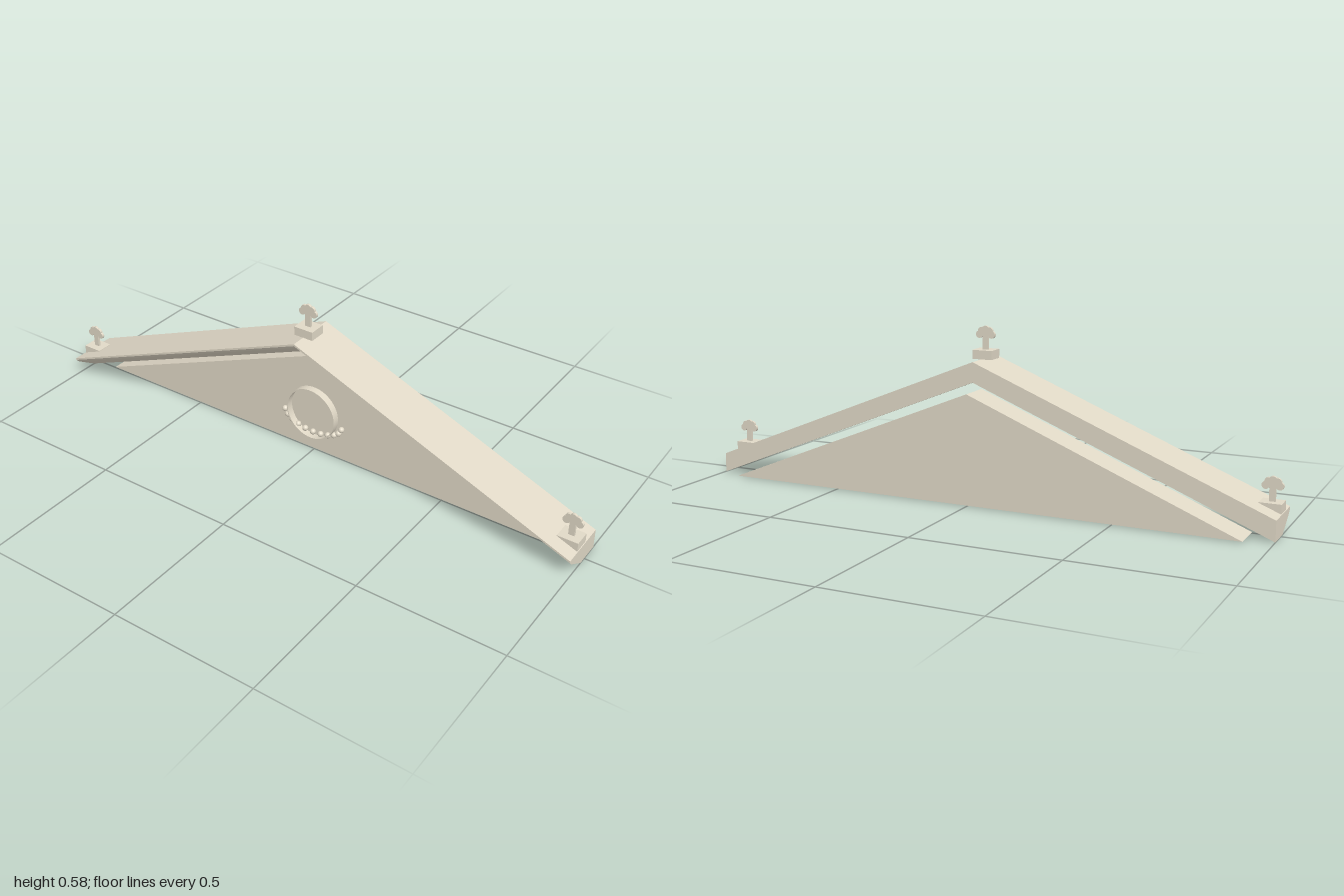
import * as THREE from 'three';

const SLOPE = 0.403;

export function createModel() {
  const stone = new THREE.MeshStandardMaterial({ color: 0xe0d8c6 });
  stone.name = 'stone';

  const model = new THREE.Group();
  model.name = 'pediment';
  const add = (parent, name, geometry, x = 0, y = 0, z = 0) => {
    const mesh = new THREE.Mesh(geometry, stone);
    mesh.name = name;
    mesh.position.set(x, y, z);
    parent.add(mesh);
  };

  // Triangular panel, its front face at z = 0
  const triangle = new THREE.Shape([
    new THREE.Vector2(-0.913, 0.003),
    new THREE.Vector2(0.913, 0.003),
    new THREE.Vector2(0, 0.372),
  ]);
  add(model, 'tympanum',
    new THREE.ExtrudeGeometry(triangle, { depth: 0.112, bevelEnabled: false }), 0, 0, -0.112);

  // Raking cornices: a moulding profile (z, y) swept out and sheared down the slope
  const profile = [
    [-0.067, 0.47], [0.113, 0.47], [0.113, 0.463],
    [0.1, 0.45], [0.025, 0.403], [-0.067, 0.403],
  ];
  for (const side of [1, -1]) {
    const shape = new THREE.Shape(profile.map(([z, y]) => new THREE.Vector2(-side * z, y)));
    const geometry = new THREE.ExtrudeGeometry(shape, { depth: 1, bevelEnabled: false });
    geometry.rotateY(side * Math.PI / 2);
    const p = geometry.attributes.position;
    for (let i = 0; i < p.count; i++) p.setY(i, p.getY(i) - SLOPE * Math.abs(p.getX(i)));
    geometry.computeVertexNormals();
    add(model, side > 0 ? 'leftCornice' : 'rightCornice', geometry);
  }

  // Thin round medallion rim standing out from the panel
  const ring = new THREE.Shape().absarc(0, 0, 0.096, 0, Math.PI * 2);
  ring.holes.push(new THREE.Path().absarc(0, 0, 0.092, 0, Math.PI * 2, true));
  add(model, 'medallionRim',
    new THREE.ExtrudeGeometry(ring, { depth: 0.025, bevelEnabled: false, curveSegments: 48 }), 0, 0.153, 0);

  // Garland of beads hanging below the medallion
  const bead = new THREE.SphereGeometry(0.0105, 14, 10);
  for (let i = 0; i < 11; i++) {
    const t = (i - 5) / 5;
    add(model, 'garlandBead', bead, 0.115 * Math.sin(t * 1.35) / Math.sin(1.35),
      0.127 - 0.051 * (1 - t * t), 0.008);
  }

  // Roof ornaments: block, stem and a fan of five petals
  const block = new THREE.BoxGeometry(0.07, 0.03, 0.059);
  const stem = new THREE.BoxGeometry(0.02, 0.058, 0.009);
  const petal = new THREE.CylinderGeometry(0.0125, 0.0125, 0.009, 20);
  petal.rotateX(Math.PI / 2);
  for (const [name, x, y] of [
    ['peakOrnament', 0, 0.469], ['leftOrnament', 0.963, 0.068], ['rightOrnament', -0.963, 0.068],
  ]) {
    const ornament = new THREE.Group();
    ornament.name = name;
    ornament.position.set(x, y, 0.032);
    add(ornament, 'block', block, 0, 0.015, 0);
    add(ornament, 'stem', stem, 0, 0.059, 0);
    for (let i = 0; i < 5; i++) {
      const a = Math.PI * (0.08 + 0.84 * i / 4);
      add(ornament, 'petal', petal, 0.0225 * Math.cos(a), 0.0735 + 0.0225 * Math.sin(a), 0);
    }
    model.add(ornament);
  }

  return model;
}
